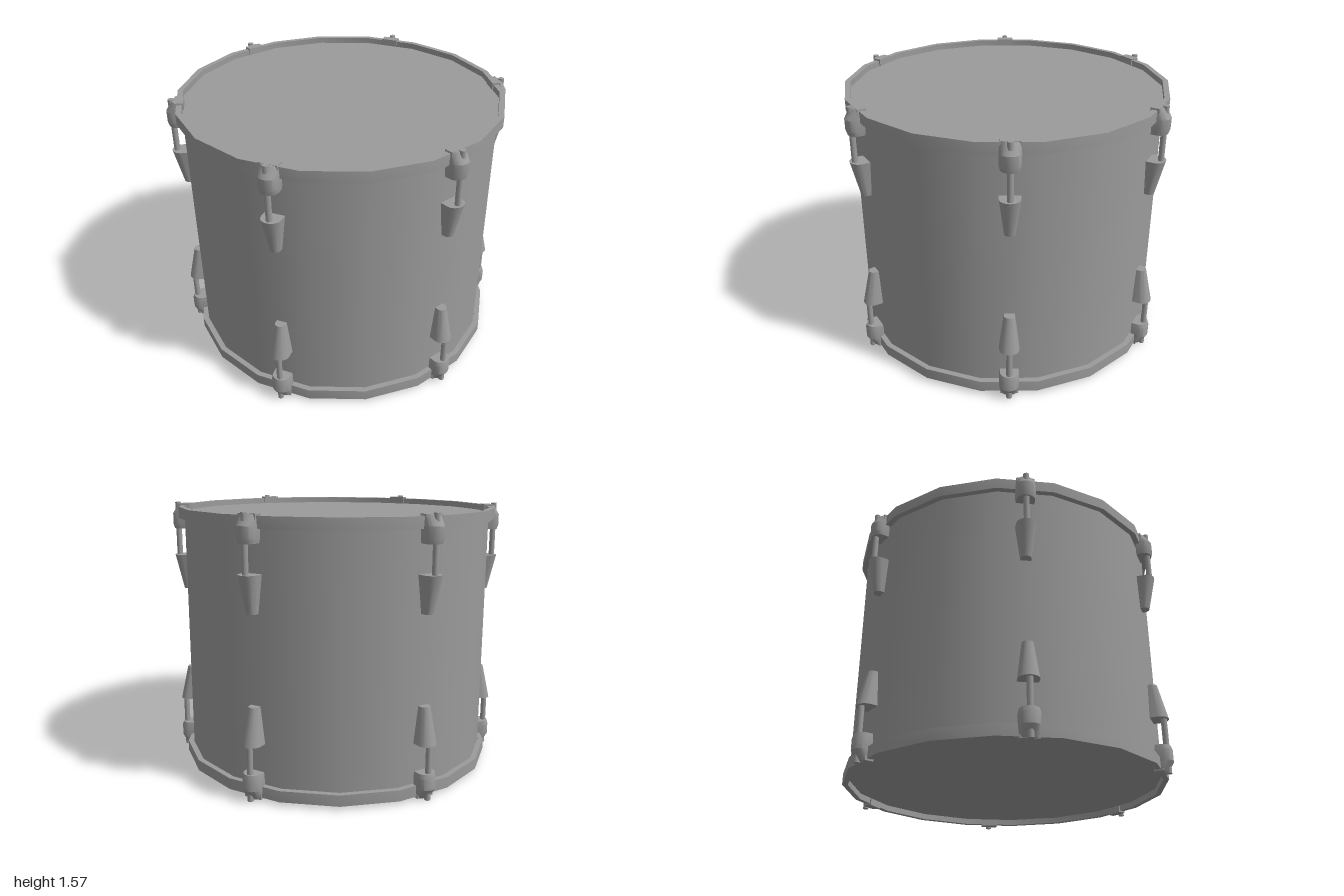
import * as THREE from 'three';
import { toCreasedNormals } from 'three/addons/utils/BufferGeometryUtils.js';

const SIDES = 18, MID = 0.787;
const material = new THREE.MeshStandardMaterial({ color: 0x9b9b9b });

function mesh(name, geometry, parent, x = 0, y = 0, z = 0) {
  const m = new THREE.Mesh(geometry, material);
  m.name = name;
  m.position.set(x, y, z);
  parent.add(m);
  return m;
}

// D-shaped outline: flat towards the shell (-z), rounded outwards (+z)
function dOutline(w, rIn, rOut) {
  const points = [[-w, rIn], [w, rIn]];
  const side = Math.max(rIn + 0.005, rOut - w * 0.9);
  for (let i = 0; i <= 8; i++) {
    const a = (i / 8) * Math.PI;
    points.push([w * Math.cos(a), side + (rOut - side) * Math.sin(a)]);
  }
  return points;
}

// Closed loft through D outlines, listed from bottom to top as [y, halfWidth, rIn, rOut]
function loftD(sections) {
  const positions = [], index = [];
  let n = 0;
  for (const [y, w, rIn, rOut] of sections) {
    const ring = dOutline(w, rIn, rOut);
    n = ring.length;
    for (const [x, z] of ring) positions.push(x, y, z);
  }
  const last = (sections.length - 1) * n;
  for (let s = 0; s < last; s += n) {
    for (let i = 0; i < n; i++) {
      const j = (i + 1) % n;
      index.push(s + i, s + j, s + n + i, s + j, s + n + j, s + n + i);
    }
  }
  for (let i = 1; i < n - 1; i++) {
    index.push(0, i + 1, i);
    index.push(last, last + i, last + i + 1);
  }
  // Outline runs clockwise seen from above, so flip every face outwards
  for (let i = 0; i < index.length; i += 3) {
    [index[i + 1], index[i + 2]] = [index[i + 2], index[i + 1]];
  }
  const g = new THREE.BufferGeometry();
  g.setAttribute('position', new THREE.Float32BufferAttribute(positions, 3));
  g.setIndex(index);
  return toCreasedNormals(g, 0.48);
}

// Rim claw, tension rod and tapered lug on the shell, built facing +z
function createTensioner() {
  const g = new THREE.Group();
  g.name = 'tensioner';
  mesh('claw', loftD([
    [1.41, 0.052, 0.91, 0.99],
    [1.435, 0.056, 0.91, 0.998],
    [1.5, 0.056, 0.91, 0.998],
    [1.558, 0.053, 0.91, 0.962],
  ]), g);
  mesh('clawHook', new THREE.BoxGeometry(0.104, 0.04, 0.05), g, 0, 1.54, 0.92);
  mesh('tensionRod', new THREE.CylinderGeometry(0.017, 0.017, 0.367, 12), g, 0, 1.3835, 0.966);
  mesh('lug', loftD([
    [1.04, 0.03, 0.89, 0.947],
    [1.25, 0.056, 0.89, 0.995],
  ]), g);
  return g;
}

// Head, hoop and six tensioners of one end of the drum
function createEnd(name) {
  const end = new THREE.Group();
  end.name = name;
  mesh('drumHead', new THREE.CylinderGeometry(0.918, 0.918, 0.02, SIDES), end, 0, 1.505, 0);
  const profile = [[0.917, 1.485], [0.949, 1.485], [0.949, 1.55], [0.917, 1.55], [0.917, 1.485]]
    .map(([r, y]) => new THREE.Vector2(r, y));
  mesh('hoop', toCreasedNormals(new THREE.LatheGeometry(profile, SIDES), 0.6), end);
  for (let i = 0; i < 6; i++) {
    const t = createTensioner();
    t.rotation.y = Math.PI / 6 + (i * Math.PI) / 3;
    end.add(t);
  }
  end.position.y = -MID;
  return end;
}

export function createModel() {
  const model = new THREE.Group();
  model.name = 'drum';
  const body = new THREE.Group();
  body.name = 'body';
  mesh('shell', new THREE.CylinderGeometry(0.913, 0.913, 1.42, SIDES, 1, true), body);

  // The lower end is the upper one turned over
  body.add(createEnd('upperEnd'));
  const lower = new THREE.Group();
  lower.name = 'lowerHalf';
  lower.add(createEnd('lowerEnd'));
  lower.rotation.z = Math.PI;
  body.add(lower);

  // Very slight lean of the whole drum
  body.position.y = MID;
  body.rotation.set(-0.003, 0, 0.004);
  model.add(body);
  return model;
}
